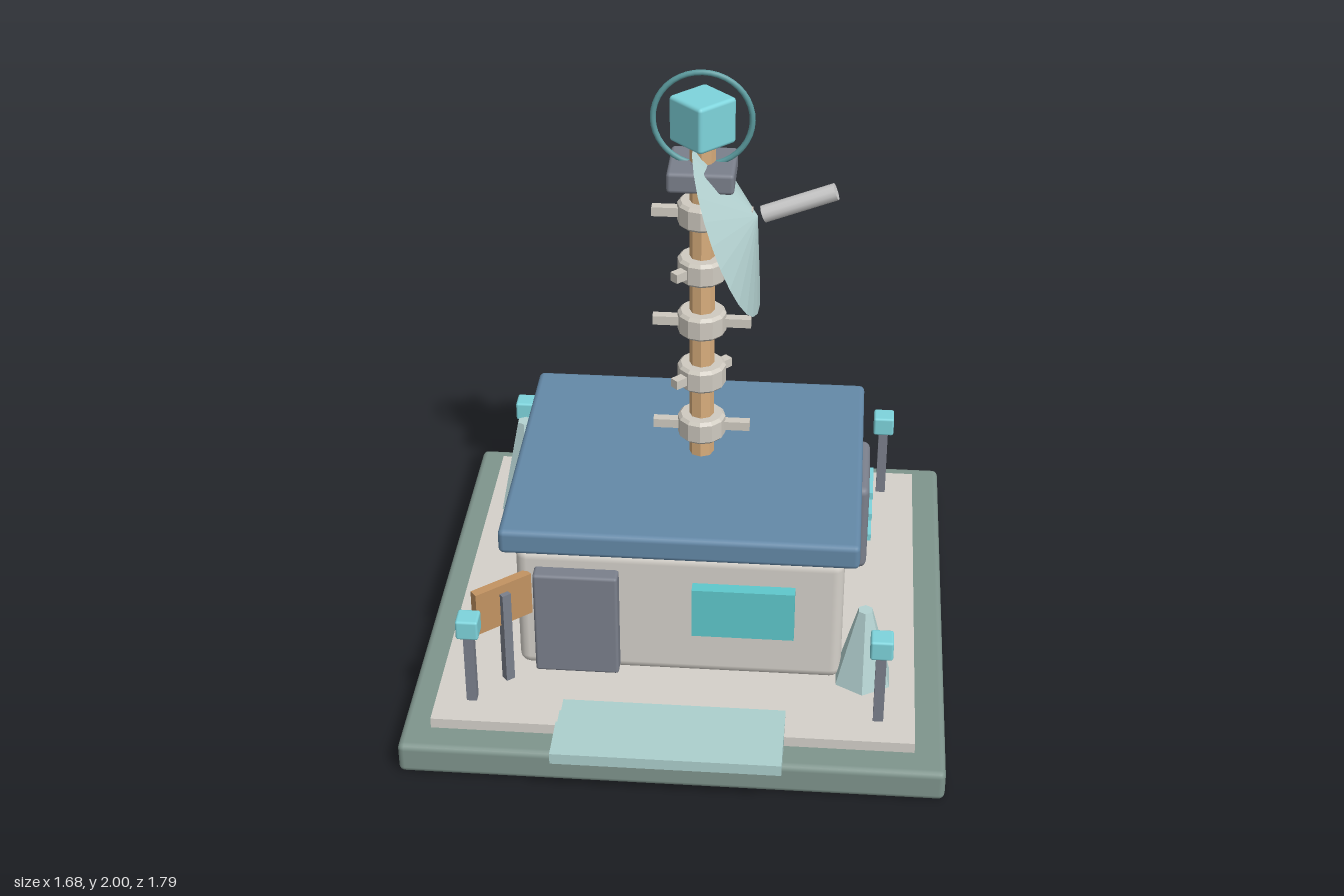
import * as THREE from 'three';
import { RoundedBoxGeometry } from 'three/addons/geometries/RoundedBoxGeometry.js';

const COLORS = {
  base: 0x7f958d, stone: 0xd5d1ca, roof: 0x6489a8, slate: 0x7b808c, glass: 0x5fc8cc,
  lamp: 0x7ed4dc, pale: 0xb5d3d2, step: 0xaccfcd, wood: 0xd9ae7d, sign: 0xc39362,
  collar: 0xcfcac0, ring: 0x5c9ca0, horn: 0xc9cccc,
};
const mats = {};
const mat = (name, flatShading = false) =>
  (mats[name + flatShading] ??= new THREE.MeshStandardMaterial({ color: COLORS[name], flatShading }));

export function createModel() {
  const model = new THREE.Group();
  model.name = 'antennaStation';

  const add = (name, geometry, material, x, y, z, parent = model) => {
    const mesh = new THREE.Mesh(geometry, material);
    mesh.name = name;
    mesh.position.set(x, y, z);
    parent.add(mesh);
    return mesh;
  };
  // Box given by its minimum and maximum on each axis, rounded when r > 0
  const box = (name, color, [x0, x1], [y0, y1], [z0, z1], r = 0, parent = model) => {
    const size = [x1 - x0, y1 - y0, z1 - z0];
    const geo = r ? new RoundedBoxGeometry(...size, 2, r) : new THREE.BoxGeometry(...size);
    return add(name, geo, mat(color), (x0 + x1) / 2, (y0 + y1) / 2, (z0 + z1) / 2, parent);
  };

  // Ground slabs
  box('base', 'base', [-0.84, 0.84], [0, 0.105], [-0.895, 0.785], 0.02);
  box('courtyard', 'stone', [-0.75, 0.745], [0.1, 0.14], [-0.8, 0.69]);

  // Building
  box('walls', 'stone', [-0.515, 0.51], [0.13, 0.58], [-0.495, 0.39], 0.035);
  box('roof', 'roof', [-0.56, 0.555], [0.585, 0.67], [-0.54, 0.425], 0.018);
  box('roofCore', 'stone', [-0.45, 0.45], [0.56, 0.6], [-0.44, 0.33]);
  box('door', 'slate', [-0.455, -0.19], [0.15, 0.52], [0.37, 0.44], 0.01);
  box('window', 'glass', [0.04, 0.36], [0.31, 0.485], [0.38, 0.43]);

  // Side vent with three slats
  box('ventPanel', 'slate', [0.48, 0.583], [0.2, 0.52], [-0.43, -0.115], 0.025);
  for (const y of [0.275, 0.358, 0.442])
    box('ventSlat', 'lamp', [0.57, 0.596], [y - 0.013, y + 0.013], [-0.352, -0.197]);

  // Utility boxes at the back
  box('rearBox', 'slate', [-0.38, -0.19], [0.16, 0.385], [-0.53, -0.46], 0.015);
  box('cornerBox', 'slate', [-0.595, -0.43], [0.16, 0.4], [-0.53, -0.41], 0.015);

  // Entrance steps
  for (let i = 0; i < 3; i++) {
    const y = 0.112 + i * 0.026, z = 0.575 + i * 0.085;
    box('step', 'step', [-0.35, 0.345], [y, y + 0.037], [z, z + 0.15]);
  }

  // Corner lamps
  for (const x of [-0.636, 0.631])
    for (const z of [-0.692, 0.577]) {
      const lamp = new THREE.Group();
      lamp.name = 'cornerLamp';
      lamp.position.set(x, 0, z);
      model.add(lamp);
      box('lampPost', 'slate', [-0.016, 0.016], [0.13, 0.4], [-0.016, 0.016], 0, lamp);
      box('lampHead', 'lamp', [-0.035, 0.035], [0.39, 0.458], [-0.035, 0.035], 0.008, lamp);
    }

  // Faceted rock spires: x, z, height, base radius, top radius
  for (const [x, z, h, r, t] of [
    [0.58, 0.375, 0.265, 0.098, 0.024],
    [0.515, -0.605, 0.2, 0.095, 0.034],
    [-0.615, -0.51, 0.345, 0.1, 0.026],
  ])
    add('rockSpire', new THREE.CylinderGeometry(t, r, h, 6), mat('pale', true), x, 0.138 + h / 2, z);

  // Sign turned towards the entrance
  const sign = new THREE.Group();
  sign.name = 'sign';
  sign.position.set(-0.55, 0, 0.455);
  sign.rotation.y = 0.7;
  model.add(sign);
  box('signBoard', 'sign', [-0.1, 0.1], [0.35, 0.5], [-0.015, 0.015], 0, sign);
  box('signPost', 'slate', [-0.015, 0.015], [0.13, 0.47], [0.005, 0.032], 0, sign);

  // Mast with collars and cross pegs
  const mast = new THREE.Group();
  mast.name = 'mast';
  mast.position.set(0.032, 0, -0.085);
  model.add(mast);
  add('mastPole', new THREE.CylinderGeometry(0.04, 0.04, 1.14, 8), mat('wood', true), 0, 1.22, 0, mast);
  const collarProfile = [[0, -0.04], [0.067, -0.04], [0.077, -0.03], [0.077, 0.03], [0.067, 0.04], [0, 0.04]]
    .map(([r, y]) => new THREE.Vector2(r, y));
  for (let i = 0; i < 5; i++) {
    const y = 0.775 + i * 0.19;
    add('collar', new THREE.LatheGeometry(collarProfile, 12), mat('collar', true), 0, y, 0, mast);
    const peg = add('crossPeg', new THREE.BoxGeometry(i % 2 ? 0.23 : 0.31, 0.03, 0.03), mat('collar'), 0, y, 0, mast);
    peg.rotation.y = i % 2 ? Math.PI / 4 : 0;
  }

  // Beacon at the mast top
  box('beaconMount', 'slate', [-0.102, 0.102], [1.64, 1.707], [-0.102, 0.102], 0.012, mast);
  const beacon = box('beacon', 'lamp', [-0.073, 0.073], [1.768, 1.915], [-0.073, 0.073], 0.012, mast);
  beacon.rotation.y = Math.PI / 4;
  add('beaconRing', new THREE.TorusGeometry(0.149, 0.009, 8, 40), mat('ring'), 0, 1.842, 0, mast);

  // Dish assembly: local +y is the dish axis
  const dish = new THREE.Group();
  dish.name = 'dish';
  dish.position.set(0.108, 1.492, -0.083);
  dish.rotation.z = -Math.atan2(0.933, 0.36);
  model.add(dish);
  add('dishCone', new THREE.ConeGeometry(0.292, 0.1, 24), mat('pale', true), 0, 0.05, 0, dish);
  box('dishBackBar', 'slate', [-0.24, 0.24], [-0.04, -0.004], [-0.03, 0.03], 0, dish);
  add('feedHorn', new THREE.CylinderGeometry(0.027, 0.027, 0.235, 12), mat('horn'), 0, 0.235, 0, dish);

  return model;
}
